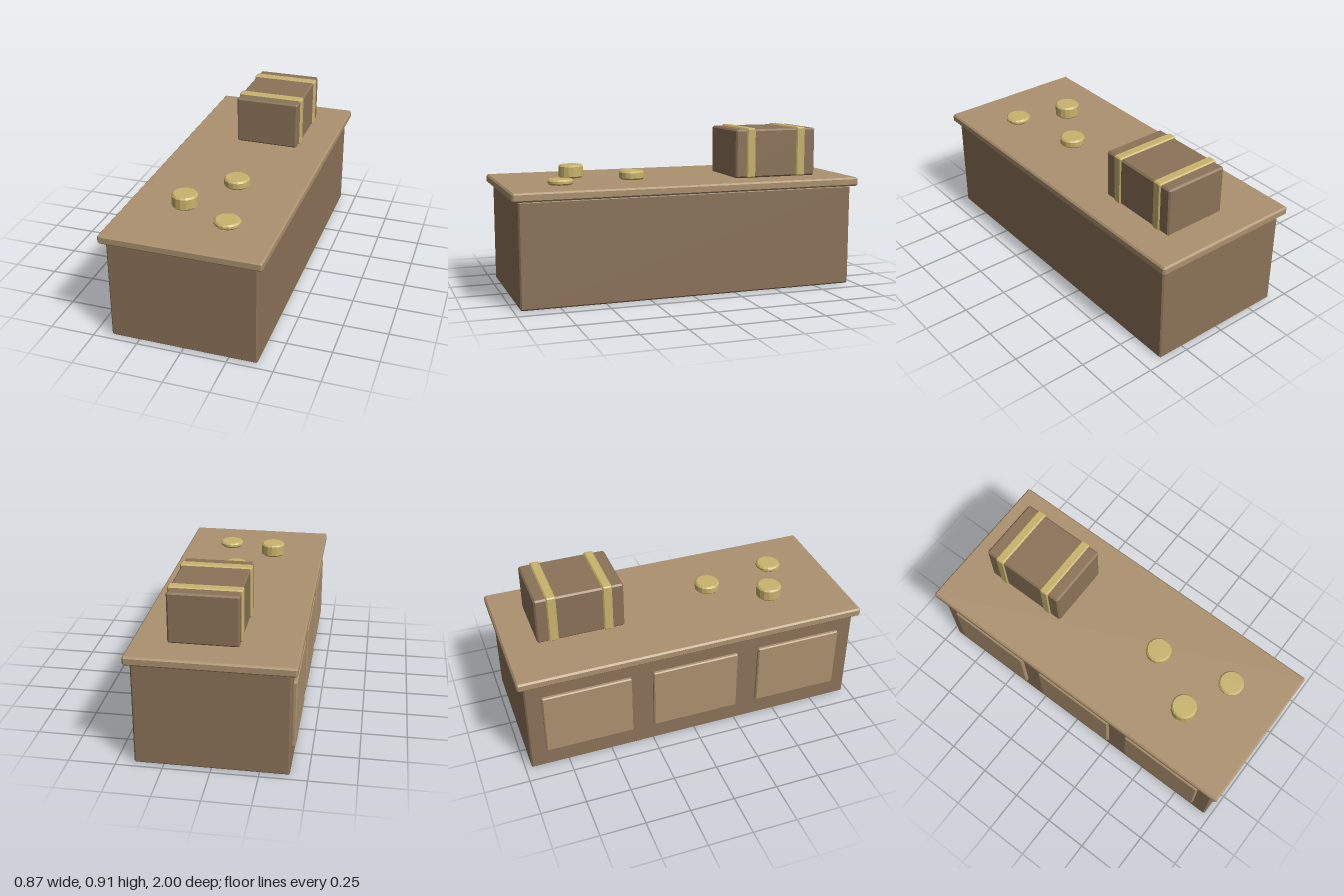
import * as THREE from 'three';
import { ConvexGeometry } from 'three/addons/geometries/ConvexGeometry.js';

const body = new THREE.MeshStandardMaterial({ name: 'brown wood', color: 0x8b7358 });
const light = new THREE.MeshStandardMaterial({ name: 'light wood', color: 0xab916e });
const gold = new THREE.MeshStandardMaterial({ name: 'gold', color: 0xc8b36c });

// Box with chamfered edges, given by its minimum and maximum corners
function chamferBox(name, min, max, bevel, material) {
  const half = min.map((v, i) => (max[i] - v) / 2);
  const points = [];
  for (const sx of [-1, 1]) for (const sy of [-1, 1]) for (const sz of [-1, 1]) {
    const signs = [sx, sy, sz];
    for (let axis = 0; axis < 3; axis++) {
      const p = signs.map((s, i) => s * (half[i] - (i === axis ? 0 : bevel)));
      points.push(new THREE.Vector3(...p));
    }
  }
  const mesh = new THREE.Mesh(new ConvexGeometry(points), material);
  mesh.name = name;
  mesh.position.set(...min.map((v, i) => (v + max[i]) / 2));
  return mesh;
}

// Faceted disc with chamfered rims, resting on the counter
function disc(name, x, z, height) {
  const r = 0.072, b = 0.009;
  const profile = [[0, 0], [r - b, 0], [r, b], [r, height - b], [r - b, height], [0, height]]
    .map(([px, py]) => new THREE.Vector2(px, py));
  const geometry = new THREE.LatheGeometry(profile, 16).toNonIndexed();
  geometry.computeVertexNormals();
  const mesh = new THREE.Mesh(geometry, gold);
  mesh.name = name;
  mesh.position.set(x, 0.626, z);
  return mesh;
}

export function createModel() {
  const model = new THREE.Group();
  model.name = 'shopCounter';

  // Counter base and overhanging top
  model.add(chamferBox('counterBase', [-0.406, 0, -0.965], [0.406, 0.577, 0.965], 0.008, body));
  model.add(chamferBox('counterTop', [-0.436, 0.577, -1], [0.436, 0.626, 1], 0.009, light));

  // Three raised panels on the right side
  for (const z of [-0.625, 0, 0.625]) {
    model.add(chamferBox('sidePanel', [-0.425, 0.115, z - 0.25], [-0.4, 0.488, z + 0.25], 0.006, light));
  }

  // Chest with two straps
  const chest = new THREE.Group();
  chest.name = 'chest';
  chest.add(chamferBox('chestBody', [-0.125, 0.626, -0.813], [0.247, 0.903, -0.315], 0.009, body));
  for (const z of [-0.72, -0.408]) {
    chest.add(chamferBox('chestStrap', [-0.132, 0.626, z - 0.027], [0.254, 0.91, z + 0.027], 0.007, gold));
  }
  model.add(chest);

  // Discs on the counter
  model.add(disc('tallDisc', -0.127, 0.56, 0.074));
  model.add(disc('middleDisc', 0.061, 0.25, 0.049));
  model.add(disc('lowDisc', 0.154, 0.685, 0.03));

  return model;
}
